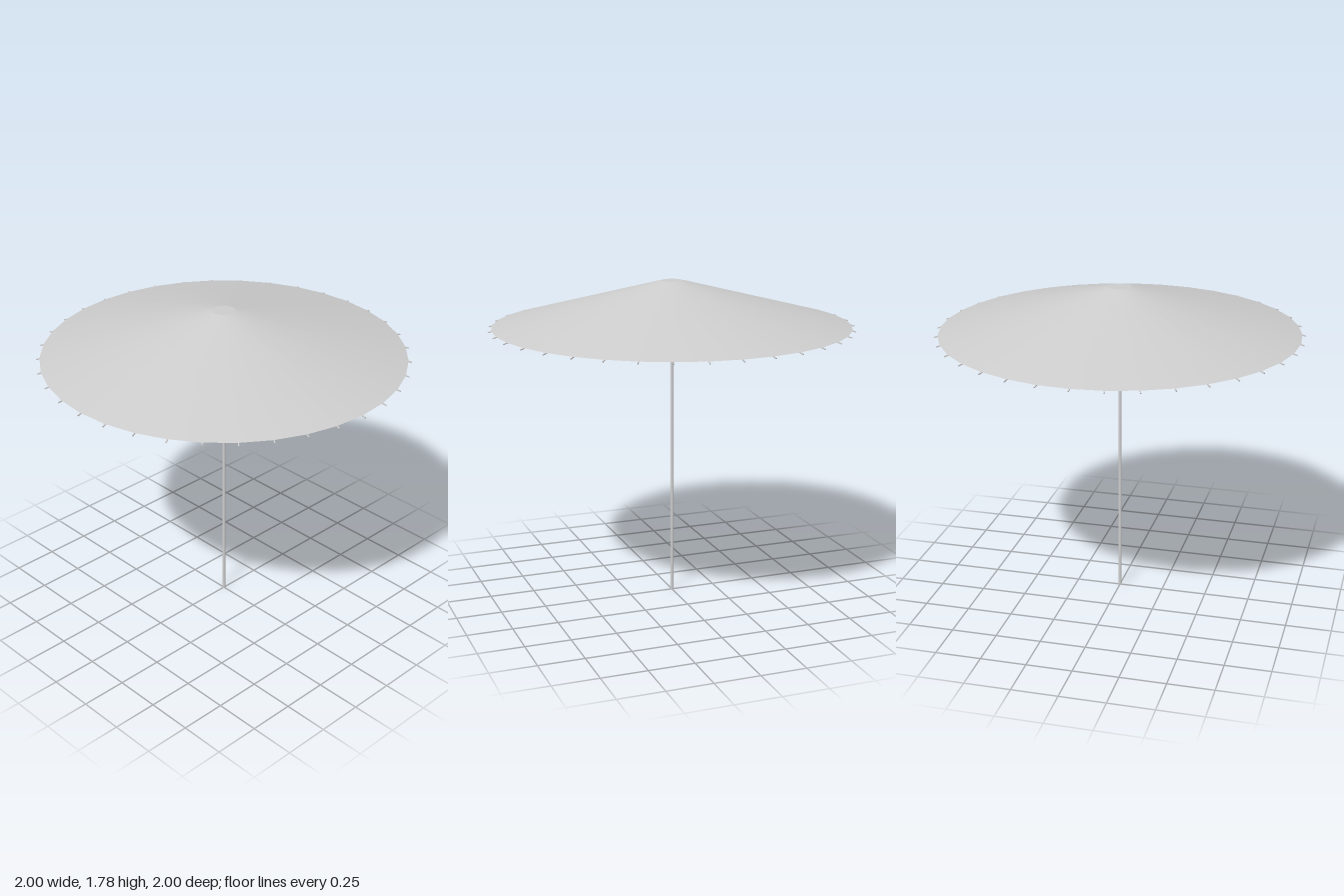
import * as THREE from 'three';

const RIBS = 36;
const CANOPY = { topR: 0.06, topY: 1.78, rimR: 0.98, rimY: 1.535 };

// Height of the canopy cloth at a given radius
function canopyY(r) {
  const t = (r - CANOPY.topR) / (CANOPY.rimR - CANOPY.topR);
  return THREE.MathUtils.lerp(CANOPY.topY, CANOPY.rimY, t);
}

// Thin square rod between two points of the xy plane
function rodGeometry(r0, y0, r1, y1, width) {
  const a = new THREE.Vector3(r0, y0, 0);
  const b = new THREE.Vector3(r1, y1, 0);
  const g = new THREE.BoxGeometry(a.distanceTo(b), width, width);
  g.rotateZ(Math.atan2(y1 - y0, r1 - r0));
  g.translate((r0 + r1) / 2, (y0 + y1) / 2, 0);
  return g;
}

export function createModel() {
  const root = new THREE.Group();
  root.name = 'parasol';
  const grey = new THREE.MeshStandardMaterial({ color: 0xcccccc });
  const cloth = new THREE.MeshStandardMaterial({ color: 0xcccccc, side: THREE.DoubleSide });

  function add(name, geometry, material = grey, parent = root) {
    const mesh = new THREE.Mesh(geometry, material);
    mesh.name = name;
    parent.add(mesh);
    return mesh;
  }

  function lathe(points, segments = 24) {
    return new THREE.LatheGeometry(points.map(([x, y]) => new THREE.Vector2(x, y)), segments);
  }

  // Pole
  const pole = add('pole', new THREE.CylinderGeometry(0.009, 0.009, 1.77, 20));
  pole.position.y = 0.885;

  // Canopy cloth and its flat crown
  const height = CANOPY.topY - CANOPY.rimY;
  const canopy = add('canopy',
    new THREE.CylinderGeometry(CANOPY.topR, CANOPY.rimR, height, RIBS, 1, true), cloth);
  canopy.position.y = CANOPY.rimY + height / 2;
  const crown = add('crown', new THREE.CircleGeometry(CANOPY.topR, RIBS).rotateX(-Math.PI / 2), cloth);
  crown.position.y = CANOPY.topY;

  // Fixed hub under the crown
  add('topHub', lathe([[0.009, 1.735], [0.022, 1.74], [0.024, 1.77], [0.009, 1.775]]));

  // Sliding runner, flared like a cup
  add('runner', lathe([
    [0.009, 1.425], [0.012, 1.427], [0.013, 1.445], [0.019, 1.475],
    [0.019, 1.487], [0.015, 1.494], [0.009, 1.495],
  ]));

  // Ribs under the cloth and struts from the runner up to the ribs
  const ribs = new THREE.Group();
  ribs.name = 'ribs';
  const struts = new THREE.Group();
  struts.name = 'struts';
  root.add(ribs, struts);
  const drop = 0.003;
  const ribGeometry = rodGeometry(0.02, canopyY(0.06) - 0.006, 0.998, canopyY(0.998) - drop, 0.006);
  const strutGeometry = rodGeometry(0.014, 1.481, 0.315, canopyY(0.315) - drop, 0.004);
  for (let i = 0; i < RIBS; i++) {
    const angle = (i / RIBS) * Math.PI * 2;
    add('rib', ribGeometry, grey, ribs).rotation.y = angle;
    add('strut', strutGeometry, grey, struts).rotation.y = angle;
  }
  return root;
}
